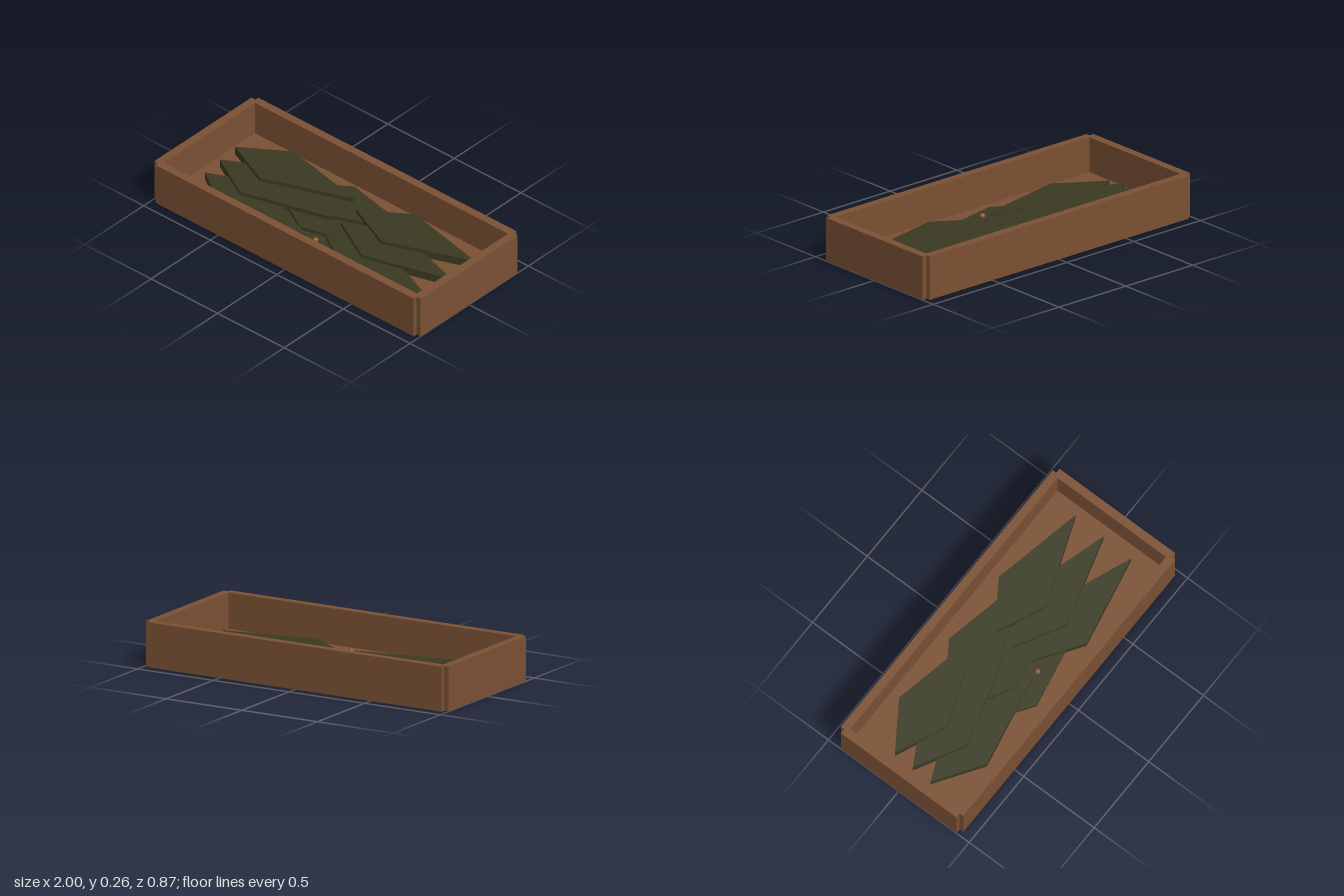
import * as THREE from 'three';

const wood = new THREE.MeshStandardMaterial({ name: 'brown wood', color: 0x7a5033 });
const green = new THREE.MeshStandardMaterial({ name: 'dark leaf green', color: 0x3a3a22 });
const seedBrown = new THREE.MeshStandardMaterial({ name: 'seed brown', color: 0x85502f });

function add(parent, name, geometry, material, x, y, z) {
  const mesh = new THREE.Mesh(geometry, material);
  mesh.name = name;
  mesh.position.set(x, y, z);
  parent.add(mesh);
  return mesh;
}

// Kite-shaped slab lying flat, its top at y = 0
function leafGeometry(thickness) {
  const shape = new THREE.Shape([
    new THREE.Vector2(-0.417, 0),
    new THREE.Vector2(-0.125, -0.16),
    new THREE.Vector2(0.417, 0),
    new THREE.Vector2(-0.125, 0.16),
  ]);
  const geometry = new THREE.ExtrudeGeometry(shape, { depth: thickness, bevelEnabled: false });
  return geometry.rotateX(-Math.PI / 2).translate(0, -thickness, 0);
}

export function createModel() {
  const model = new THREE.Group();
  model.name = 'trayOfLeaves';

  // Tray: floor, long walls and end walls with notched corners
  const tray = new THREE.Group();
  tray.name = 'tray';
  model.add(tray);
  add(tray, 'floor', new THREE.BoxGeometry(1.94, 0.05, 0.82), wood, 0, 0.025, 0);
  for (const s of [-1, 1]) {
    add(tray, s > 0 ? 'frontWall' : 'backWall',
      new THREE.BoxGeometry(1.94, 0.26, 0.05), wood, 0, 0.13, s * 0.41);
    add(tray, s > 0 ? 'leftWall' : 'rightWall',
      new THREE.BoxGeometry(0.05, 0.26, 0.82), wood, s * 0.975, 0.13, 0);
  }

  // Leaves: three fans of three, each overlapping the one in front;
  // the middle fan is tucked beneath its neighbours
  const leaves = new THREE.Group();
  leaves.name = 'leaves';
  model.add(leaves);
  const leaf = leafGeometry(0.05);
  for (const column of [-1, 0, 1]) {
    for (const row of [-1, 0, 1]) {
      const top = 0.113 - row * 0.02 - (column === 0 ? 0.025 : 0);
      const mesh = add(leaves, 'leaf', leaf, green, column * 0.456, top, row * 0.163);
      mesh.rotation.y = -row * 0.085;
    }
  }

  // Small seed resting among the leaves
  add(model, 'seed', new THREE.SphereGeometry(0.018, 12, 8), seedBrown, 0.02, 0.085, 0.195);

  return model;
}
